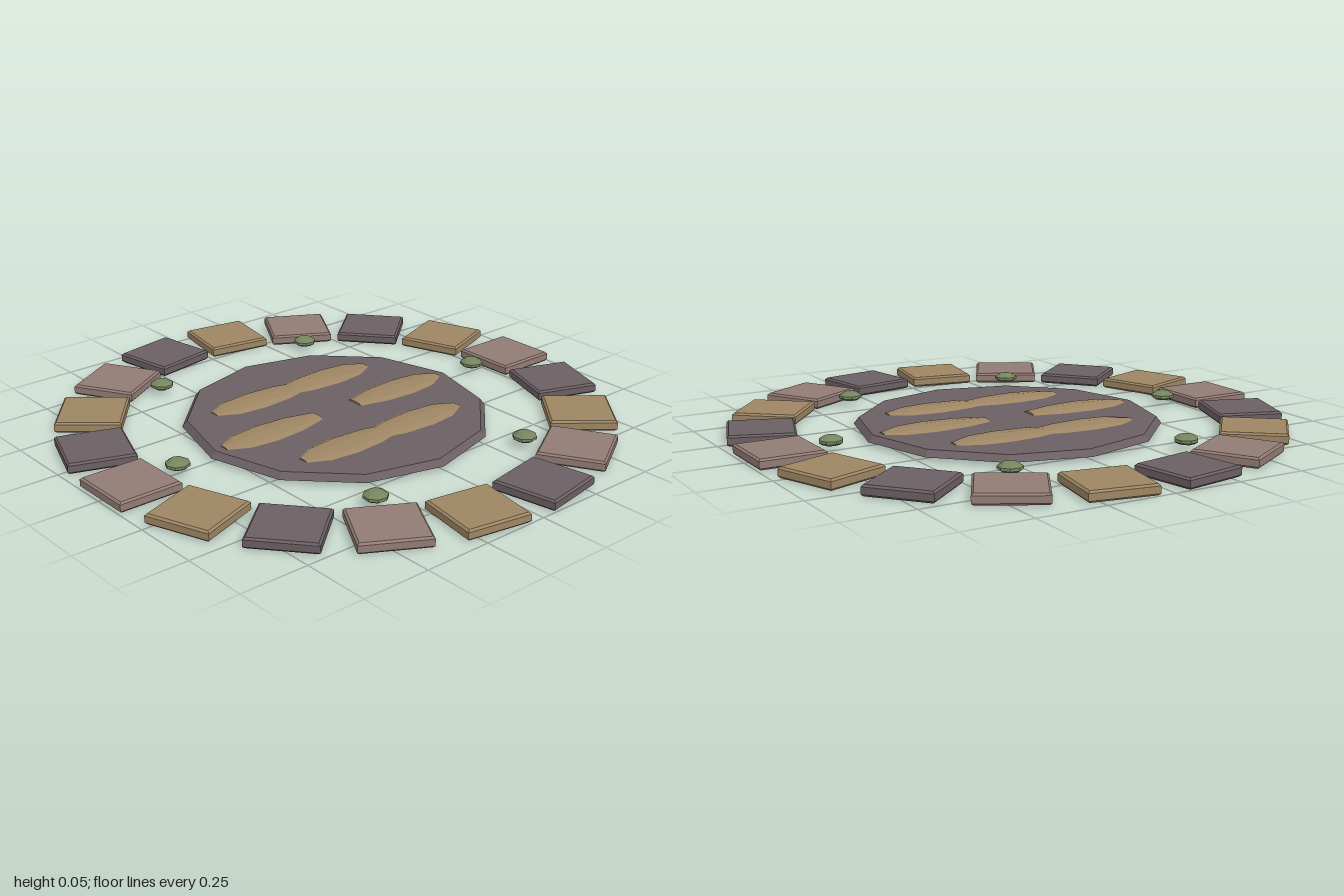
import * as THREE from 'three';

const mat = (name, color) => {
  const m = new THREE.MeshStandardMaterial({ color, flatShading: true });
  m.name = name;
  return m;
};

export function createModel() {
  const slate = mat('slate', 0x6b5f63);
  const clay = mat('clay', 0x927b74);
  const sand = mat('sand', 0x9d8563);
  const moss = mat('moss', 0x76855f);

  const model = new THREE.Group();
  model.name = 'stoneRing';
  const add = (name, geo, material, x, y, z, turn = 0) => {
    const mesh = new THREE.Mesh(geo, material);
    mesh.name = name;
    mesh.position.set(x, y, z);
    mesh.rotation.y = turn;
    model.add(mesh);
    return mesh;
  };

  // Central twelve-sided slab, slightly tapered
  add('centreSlab', new THREE.CylinderGeometry(0.535, 0.553, 0.023, 12), slate, 0, 0.0235, 0);

  // Ring of chamfered paving stones in three repeating colours
  const bevel = 0.007, hx = 0.119 - bevel, hz = 0.12 - bevel;
  const square = new THREE.Shape([
    new THREE.Vector2(-hx, -hz), new THREE.Vector2(hx, -hz),
    new THREE.Vector2(hx, hz), new THREE.Vector2(-hx, hz),
  ]);
  const stone = new THREE.ExtrudeGeometry(square, {
    depth: 0.024, bevelEnabled: true, bevelSegments: 1, bevelSize: bevel, bevelThickness: bevel,
  });
  stone.rotateX(-Math.PI / 2).translate(0, bevel, 0);
  const cycle = [clay, slate, sand];
  for (let i = 0; i < 18; i++) {
    const a = (i / 18) * Math.PI * 2;
    add('ringStone', stone, cycle[i % 3], Math.cos(a) * 0.874, 0, Math.sin(a) * 0.874, -a);
  }

  // Flattened leaf inlay, blunt at the inner end and narrow at the outer end
  const profile = [[0, -0.205], [0.034, -0.205], [0.063, -0.095], [0.072, 0.025],
    [0.06, 0.13], [0.02, 0.205], [0, 0.205]].map(([r, l]) => new THREE.Vector2(r, l));
  const leaf = new THREE.LatheGeometry(profile, 8);
  leaf.rotateZ(-Math.PI / 2).scale(1, 0.22, 1).translate(0, 0, 0);
  for (const side of [1, -1]) {
    const turn = side > 0 ? 0 : Math.PI;
    add('middleLeaf', leaf, sand, side * 0.295, 0.035, 0, turn);
    for (const z of [-0.25, 0.25]) add('outerLeaf', leaf, sand, side * 0.153, 0.035, z, turn);
  }

  // Six moss pebbles between slab and ring
  const pebbleProfile = [[0, 0.023], [0.03, 0.023], [0.043, 0.031], [0.043, 0.041],
    [0.024, 0.053], [0, 0.055]].map(([r, y]) => new THREE.Vector2(r, y));
  const pebble = new THREE.LatheGeometry(pebbleProfile, 8);
  for (let i = 0; i < 6; i++) {
    const a = (i / 6) * Math.PI * 2;
    add('mossPebble', pebble, moss, Math.cos(a) * 0.69, 0, Math.sin(a) * 0.69, -a);
  }
  return model;
}
